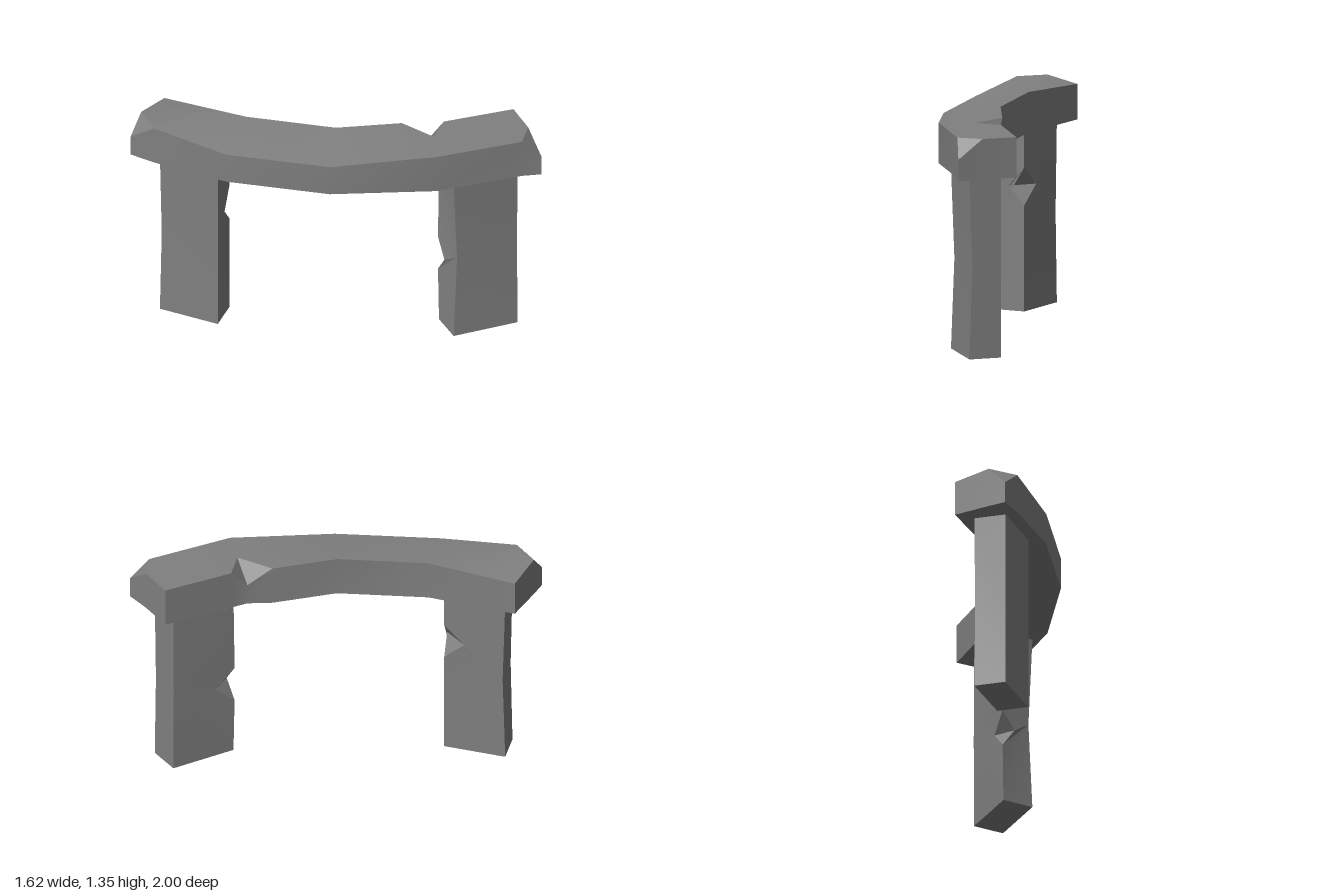
import * as THREE from 'three';
import { toCreasedNormals } from 'three/addons/utils/BufferGeometryUtils.js';

const stone = new THREE.MeshStandardMaterial({ color: 0x808080 });
stone.name = 'grey stone';

// Mesh from polygons, each a counter-clockwise fan around its first point
function polyMesh(name, faces) {
  const pos = [];
  for (const f of faces) {
    for (let i = 1; i < f.length - 1; i++) pos.push(...f[0], ...f[i], ...f[i + 1]);
  }
  const geo = new THREE.BufferGeometry();
  geo.setAttribute('position', new THREE.Float32BufferAttribute(pos, 3));
  const mesh = new THREE.Mesh(toCreasedNormals(geo, 0.4), stone);
  mesh.name = name;
  return mesh;
}

// Curved slab with two chipped corners and a notch in its inner edge
function makeLintel() {
  const T = 1.345, base = 1.10;
  const rim = [
    [-0.465, 1.315, -1], [-0.32, T, -0.475], [-0.05, T, 0],
    [0.25, T, 0.26], [0.34, 1.23, 0.38], [0.43, T, 0.435],   // notch
    [0.805, T, 0.655],
    [0.72, T, 0.85], [0.67, 1.23, 1], [0.58, T, 0.925],      // front chip
    [0.12, T, 0.655], [-0.33, 1.295, 0.205], [-0.645, 1.295, -0.345],
    [-0.78, T, -0.80], [-0.81, 1.23, -0.96], [-0.70, T, -0.975], // back chip
  ];
  const floor = rim.map(([x, , z]) => [x, base, z]);
  const notchTip = [0.27, T, 0.5];
  const faces = [];
  // walls
  rim.forEach((a, i) => {
    const j = (i + 1) % rim.length;
    faces.push([floor[j], floor[i], a, rim[j]]);
  });
  // top
  const up = (...ids) => ids.map((i) => rim[i]);
  faces.push(
    up(1, 0, 15, 13, 12), up(1, 12, 11, 2),
    [notchTip, ...up(3, 2, 11, 10)], [notchTip, ...up(10, 9, 7, 6, 5)],
  );
  // chips and notch
  faces.push(up(7, 9, 8), up(13, 15, 14),
    [rim[3], notchTip, rim[4]], [notchTip, rim[5], rim[4]]);
  // underside
  for (const ids of [[0, 1, 12, 13, 14, 15], [1, 2, 11, 12], [2, 3, 4, 10, 11], [4, 5, 6, 7, 8, 9, 10]]) {
    faces.push(ids.map((i) => floor[i]));
  }
  return polyMesh('lintel', faces);
}

// Four-sided pillar, waisted at mid height, with a wedge cut out of its first corner.
// ends and waist: [x, z] corners, clockwise from above; p and q: wedge tips on the two faces.
function makePillar(name, ends, waist, low, high, p, q) {
  const H = 1.10, level = (pts, y) => pts.map(([x, z]) => [x, y, z]);
  const bot = level(ends, 0), mid = level(waist, 0.55), top = level(ends, H);
  const [nx, nz] = waist[0], my = (low + high) / 2;
  const E1 = [nx, high, nz], E2 = [nx, low, nz];
  const P = [p[0], my, p[1]], Q = [q[0], my, q[1]];
  const faces = [
    [...bot], [...top].reverse(),
    [mid[1], bot[1], bot[0], E2, P, E1, top[0], top[1]],
    [mid[3], top[3], top[0], E1, Q, E2, bot[0], bot[3]],
    [E1, P, Q], [E2, Q, P],
  ];
  for (const a of [1, 2]) {
    const b = a + 1;
    faces.push([mid[b], bot[b], bot[a], mid[a]], [top[b], mid[b], mid[a], top[a]]);
  }
  return polyMesh(name, faces);
}

export function createModel() {
  const group = new THREE.Group();
  group.name = 'stone arch';
  group.add(
    makeLintel(),
    makePillar('frontPillar',
      [[0.325, 0.49], [0.69, 0.675], [0.615, 0.86], [0.25, 0.675]],
      [[0.325, 0.482], [0.69, 0.672], [0.625, 0.845], [0.28, 0.675]],
      0.36, 0.59, [0.435, 0.545], [0.295, 0.56]),
    makePillar('backPillar',
      [[-0.415, -0.525], [-0.595, -0.455], [-0.705, -0.82], [-0.525, -0.89]],
      [[-0.415, -0.525], [-0.595, -0.455], [-0.70, -0.81], [-0.52, -0.875]],
      0.64, 0.87, [-0.505, -0.485], [-0.445, -0.65]),
  );
  return group;
}
